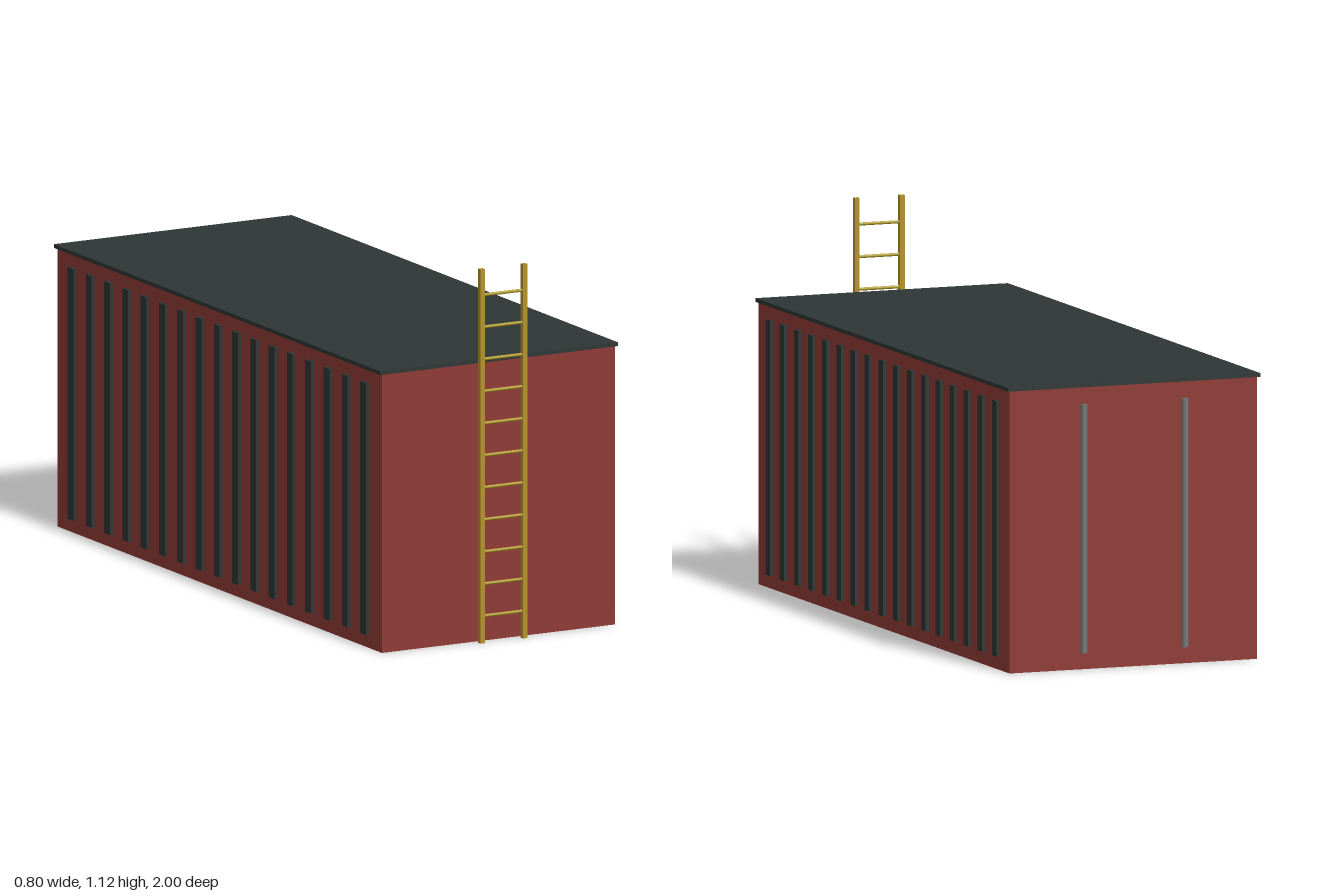
import * as THREE from 'three';

const mat = (name, color) => Object.assign(new THREE.MeshStandardMaterial({ color }), { name });

export function createModel() {
  const group = new THREE.Group();
  const red = mat('red paint', 0x8f3a34);
  const dark = mat('dark slate', 0x2d3635);
  const yellow = mat('ladder yellow', 0xb4922a);
  const rungYellow = mat('rung yellow', 0xb09a26);
  const steel = mat('grey steel', 0x757878);

  const add = (name, geometry, material, x, y, z) => {
    const mesh = new THREE.Mesh(geometry, material);
    mesh.name = name;
    mesh.position.set(x, y, z);
    group.add(mesh);
    return mesh;
  };

  // Container body and overhanging roof sheet
  add('body', new THREE.BoxGeometry(0.784, 0.839, 1.947), red, 0, 0.4195, -0.0065);
  add('roof', new THREE.BoxGeometry(0.8, 0.011, 1.96), dark, 0, 0.8425, -0.008);

  // Vertical ribs along both long sides
  const rib = new THREE.BoxGeometry(0.02, 0.757, 0.035);
  for (const side of [-1, 1]) {
    for (let i = 0; i < 17; i++) {
      add('sideRib', rib, dark, side * 0.392, 0.4185, 0.871 - i * 0.1097);
    }
  }

  // Locking bars on the back doors
  const bar = new THREE.CylinderGeometry(0.01, 0.01, 0.737, 12);
  for (const side of [-1, 1]) add('lockingBar', bar, steel, side * 0.16, 0.4185, -0.99);

  // Ladder standing just in front of the body
  const rail = new THREE.BoxGeometry(0.015, 1.125, 0.014);
  for (const side of [-1, 1]) add('ladderRail', rail, yellow, side * 0.0715, 0.5625, 0.993);
  const rung = new THREE.CylinderGeometry(0.0047, 0.0047, 0.143, 10);
  rung.rotateZ(Math.PI / 2);
  for (let i = 0; i < 11; i++) add('ladderRung', rung, rungYellow, 0, 0.081 + i * 0.0965, 0.993);

  return group;
}
